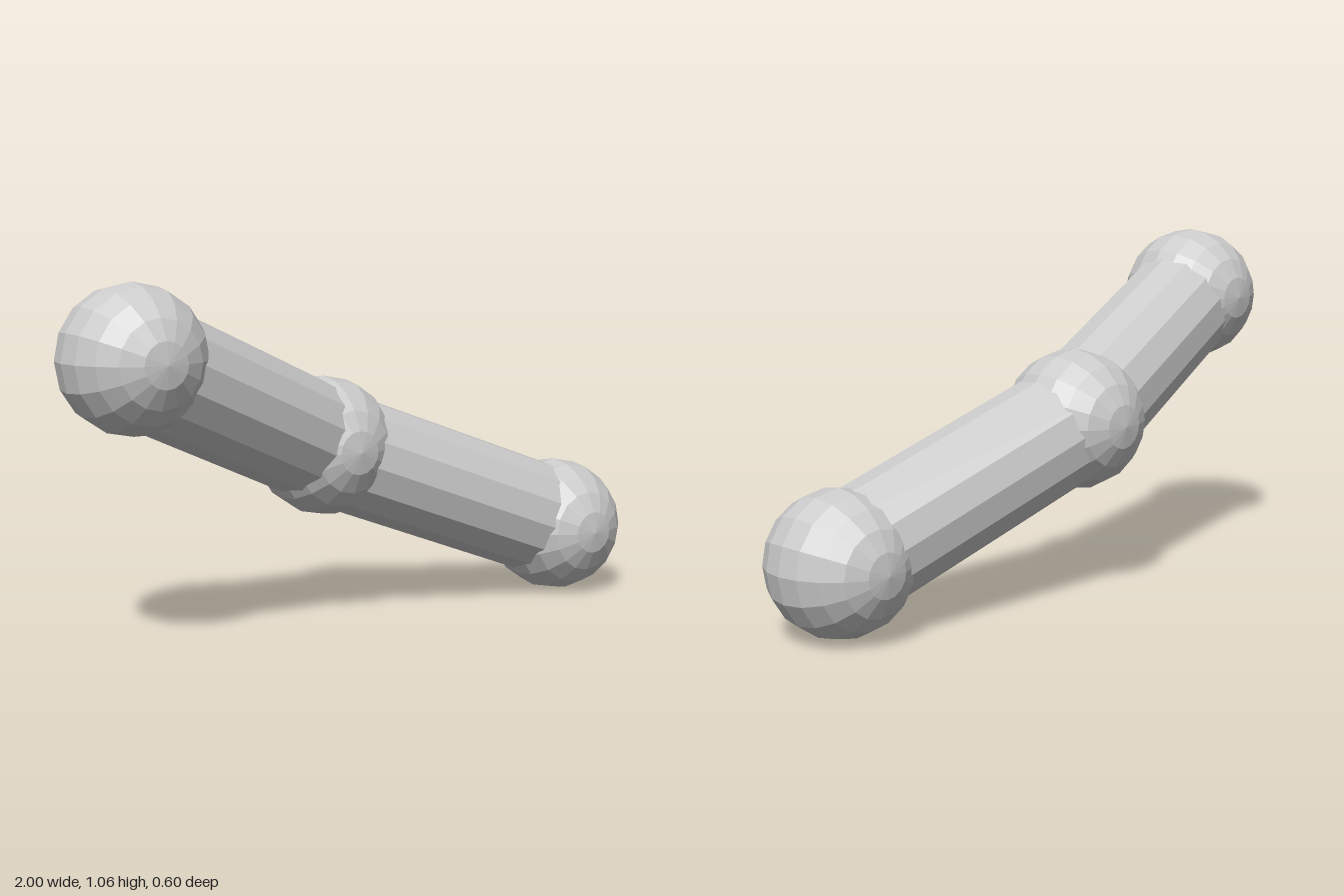
import * as THREE from 'three';

const JOINT_RADIUS = 0.215;
const TUBE_RADIUS = 0.182;

export function createModel() {
  const model = new THREE.Group();
  const material = new THREE.MeshStandardMaterial({ color: 0xcccccc, flatShading: true });

  const joints = [
    ['rightEndBall', new THREE.Vector3(-0.785, 0.85, 0.083)],
    ['middleBall', new THREE.Vector3(-0.055, 0.533, -0.085)],
    ['leftEndBall', new THREE.Vector3(0.785, 0.217, 0.012)],
  ];

  // Faceted balls with their poles facing front and back
  const ball = new THREE.SphereGeometry(JOINT_RADIUS, 16, 10).rotateX(Math.PI / 2);
  for (const [name, position] of joints) {
    const mesh = new THREE.Mesh(ball, material);
    mesh.name = name;
    mesh.position.copy(position);
    model.add(mesh);
  }

  // Straight faceted tubes running from ball to ball
  const zAxis = new THREE.Vector3(0, 0, 1);
  ['rightTube', 'leftTube'].forEach((name, i) => {
    const from = joints[i][1];
    const span = joints[i + 1][1].clone().sub(from);
    const geometry = new THREE.CylinderGeometry(TUBE_RADIUS, TUBE_RADIUS, span.length(), 14).rotateX(Math.PI / 2);
    const tube = new THREE.Mesh(geometry, material);
    tube.name = name;
    tube.position.copy(from).addScaledVector(span, 0.5);
    tube.quaternion.setFromUnitVectors(zAxis, span.normalize());
    model.add(tube);
  });

  return model;
}
